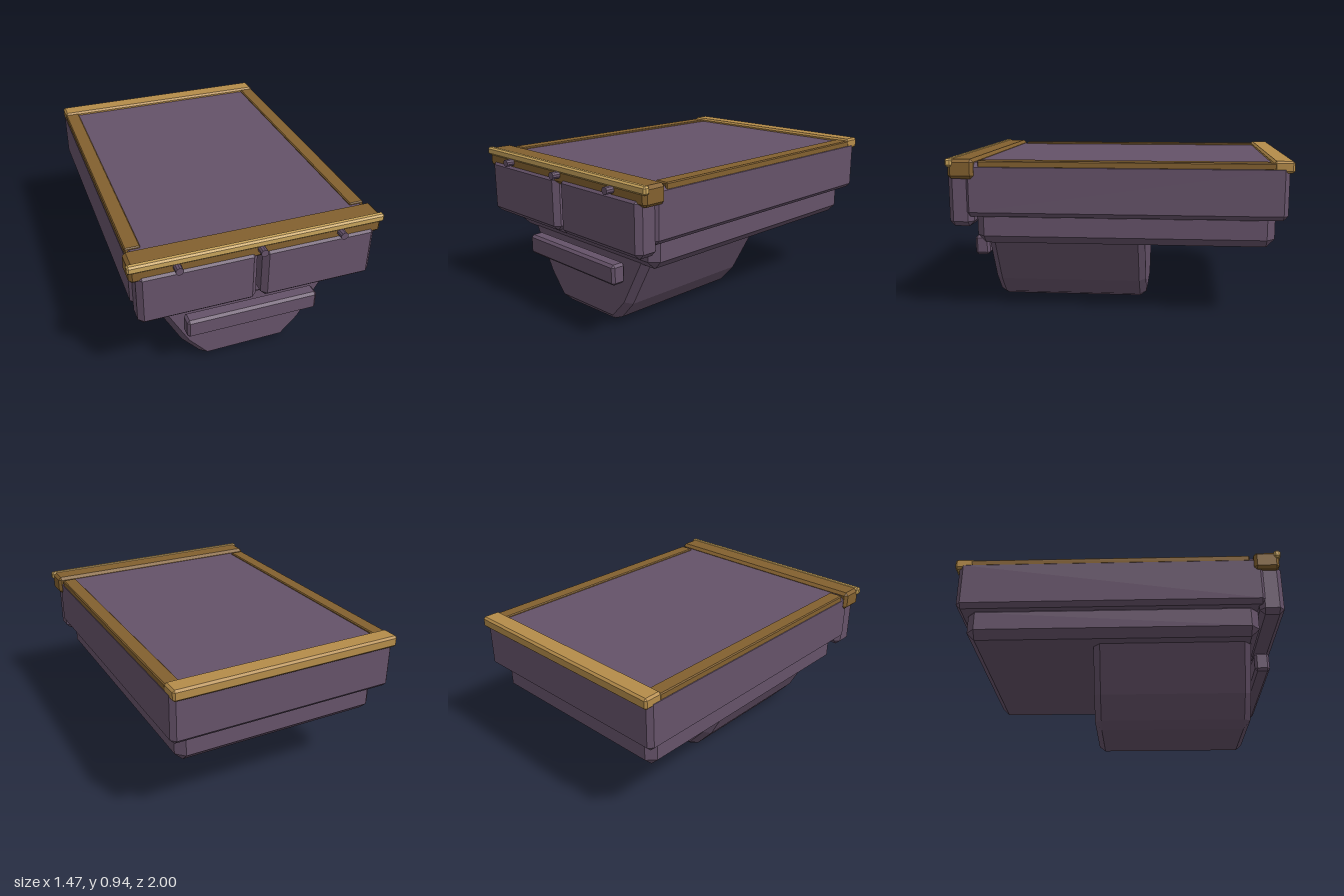
import * as THREE from 'three';
import { ConvexGeometry } from 'three/addons/geometries/ConvexGeometry.js';

function material(name, color) {
  const m = new THREE.MeshStandardMaterial({ color });
  m.name = name;
  return m;
}

// Box between two corners with every edge cut by the chamfer c
function chamferBox(x0, x1, y0, y1, z0, z1, c) {
  const points = [];
  for (const i of [0, 1]) for (const j of [0, 1]) for (const k of [0, 1]) {
    const x = i ? x1 : x0, y = j ? y1 : y0, z = k ? z1 : z0;
    const xi = i ? x - c : x + c, yi = j ? y - c : y + c, zi = k ? z - c : z + c;
    points.push(
      new THREE.Vector3(x, yi, zi),
      new THREE.Vector3(xi, y, zi),
      new THREE.Vector3(xi, yi, z)
    );
  }
  return new ConvexGeometry(points);
}

// Tapered keel: a full outline in the middle and a smaller one on each end face
function keelGeometry() {
  const outer = [[-0.55, 0.46], [-0.39, 0.16], [-0.28, 0.035], [-0.21, 0.0],
    [0.21, 0.008], [0.28, 0.038], [0.38, 0.15], [0.55, 0.46]];
  const inner = [[-0.51, 0.46], [-0.355, 0.175], [-0.24, 0.042],
    [0.24, 0.048], [0.345, 0.16], [0.51, 0.46]];
  const front = 0.78, back = -0.165, c = 0.04;
  const ring = (outline, z) => outline.map(([x, y]) => new THREE.Vector3(x, y, z));
  return new ConvexGeometry([
    ...ring(inner, front), ...ring(outer, front - c),
    ...ring(outer, back + c), ...ring(inner, back)
  ]);
}

export function createModel() {
  const purple = material('dusky purple', 0x655269);
  const brown = material('dark wood', 0x82602f);
  const tan = material('light wood', 0xb58c4a);
  const gold = material('pale gold trim', 0xc9a45c);

  const model = new THREE.Group();
  model.name = 'model';
  const add = (name, geometry, mat) => {
    const mesh = new THREE.Mesh(geometry, mat);
    mesh.name = name;
    model.add(mesh);
    return mesh;
  };

  // Stacked body
  add('upperBody', chamferBox(-0.705, 0.705, 0.6, 0.915, -0.975, 0.865, 0.027), purple);
  add('lowerBody', chamferBox(-0.645, 0.645, 0.43, 0.64, -0.915, 0.82, 0.048), purple);
  add('keel', keelGeometry(), purple);

  // Front panels, side rails
  for (const [side, s] of [['left', 1], ['right', -1]]) {
    const mirrored = (a, b) => (s > 0 ? [a, b] : [-b, -a]);
    add(side + 'FrontPanel', chamferBox(...mirrored(0.015, 0.69), 0.54, 0.87, 0.82, 0.965, 0.03), purple);
    add(side + 'SideRail', chamferBox(...mirrored(0.615, 0.703), 0.885, 0.926, -0.9, 0.78, 0.006), brown);
  }

  // Front bar floating before the keel
  add('frontBar', chamferBox(-0.4, 0.4, 0.305, 0.425, 0.81, 0.9, 0.015), purple);

  // End rails and trim
  add('frontRail', chamferBox(-0.725, 0.725, 0.823, 0.936, 0.803, 0.952, 0.018), brown);
  add('frontTrim', chamferBox(-0.735, 0.735, 0.893, 0.94, 0.922, 0.962, 0.01), gold);
  add('backRail', chamferBox(-0.703, 0.703, 0.87, 0.937, -1, -0.885, 0.012), tan);

  // Pegs along the front rail
  for (const x of [-0.47, 0, 0.47]) {
    const peg = add('peg', new THREE.CylinderGeometry(0.022, 0.022, 0.06, 10).toNonIndexed(), purple);
    peg.geometry.computeVertexNormals();
    peg.rotation.x = Math.PI / 2;
    peg.position.set(x, 0.88, 0.97);
  }

  return model;
}
